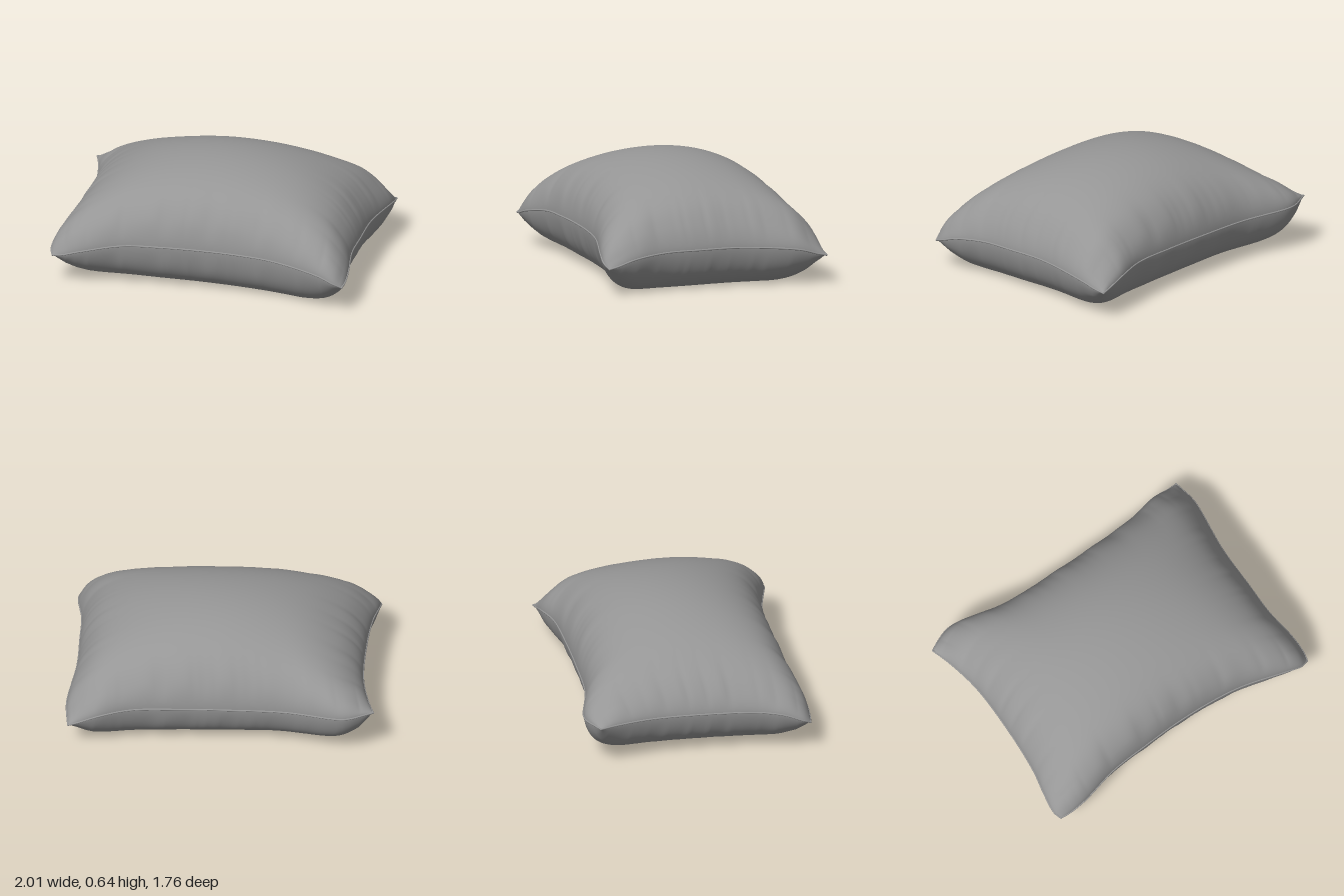
import * as THREE from 'three';

const NU = 150, NV = 130;

// Seam edges: spline through [x, y, z] points
const spline = pts => {
  const c = new THREE.CatmullRomCurve3(pts.map(p => new THREE.Vector3(...p)), false, 'centripetal');
  c.arcLengthDivisions = 400;
  return c;
};
const A = [-1, 0.265, -0.22], B = [0.55, 0.16, -0.88], C = [1, 0.155, 0.3], D = [-0.545, 0.175, 0.873];
const edges = {
  back: spline([A, [-0.96, 0.264, -0.265], [-0.9, 0.258, -0.32], [-0.84, 0.255, -0.347], [-0.55, 0.245, -0.39],
    [-0.25, 0.242, -0.495], [0, 0.24, -0.595], [0.25, 0.237, -0.71], [0.4, 0.215, -0.81], [0.5, 0.175, -0.855], B]),
  front: spline([D, [-0.5, 0.18, 0.862], [-0.4, 0.21, 0.822], [-0.2, 0.25, 0.698], [0, 0.257, 0.605],
    [0.2, 0.256, 0.517], [0.4, 0.253, 0.445], [0.6, 0.246, 0.392], [0.88, 0.212, 0.354], [0.96, 0.18, 0.333], C]),
  left: spline([A, [-0.93, 0.264, -0.13], [-0.82, 0.262, 0.05], [-0.7, 0.258, 0.36], [-0.63, 0.252, 0.6],
    [-0.605, 0.235, 0.74], [-0.575, 0.195, 0.84], D]),
  right: spline([B, [0.575, 0.17, -0.835], [0.62, 0.2, -0.74], [0.7, 0.225, -0.42], [0.79, 0.226, -0.18],
    [0.86, 0.222, 0], [0.95, 0.2, 0.16], [0.99, 0.17, 0.25], C]),
};
const sample = (curve, n) => Array.from({ length: n + 1 }, (_, i) =>
  curve.getPointAt((Math.sin((i / n - 0.5) * Math.PI) + 1) / 2));

// Irregular pinched pleats along a coordinate t, fading away from the seam
const pinch = x => 0.5 - 1.4 * (1 - Math.abs(Math.sin(x))) ** 2;
const pleat = (t, seed) => pinch(t * 8 + seed) * 0.6 + pinch(t * 13 + seed * 2.3 + Math.sin(t * 5)) * 0.6
  + Math.sin(t * 19 + seed * 4.1) * 0.4;
const band = (d, width) => (d / width) * Math.exp(1 - d / width);

function shellGeometry(isTop) {
  const back = sample(edges.back, NU), front = sample(edges.front, NU);
  const left = sample(edges.left, NV), right = sample(edges.right, NV);
  const pos = [], idx = [];
  const [a, b, c, d] = [A, B, C, D].map(p => new THREE.Vector3(...p));
  for (let j = 0; j <= NV; j++) {
    for (let i = 0; i <= NU; i++) {
      const u = Math.sin((i / NU - 0.5) * Math.PI), v = Math.sin((j / NV - 0.5) * Math.PI);
      const s = (u + 1) / 2, t = (v + 1) / 2;
      // Blend the four seam edges across the patch
      const p = new THREE.Vector3()
        .addScaledVector(back[i], 1 - t).addScaledVector(front[i], t)
        .addScaledVector(left[j], 1 - s).addScaledVector(right[j], s)
        .addScaledVector(a, -(1 - s) * (1 - t)).addScaledVector(b, -s * (1 - t))
        .addScaledVector(c, -s * t).addScaledVector(d, -(1 - s) * t);
      const eu = Math.max(0, 1 - u * u), ev = Math.max(0, 1 - v * v);
      const du = 1 - Math.abs(u), dv = 1 - Math.abs(v);
      // Pleats run inward from every edge and vanish on the seam
      const w = isTop ? 0.06 : 0.08;
      const folds = pleat(v, u < 0 ? 1 : 3.7) * band(du, w) * Math.sqrt(ev)
        + pleat(u * 1.3, v < 0 ? 5.2 : 2.4) * band(dv, w) * Math.sqrt(eu);
      if (isTop) {
        p.y += (0.638 - p.y) * Math.pow(eu, 0.6) * Math.pow(ev, 0.5) + folds * 0.009;
      } else {
        const g = Math.pow(Math.max(0, 1 - Math.abs(u) ** 10), 0.65) * Math.pow(Math.max(0, 1 - v ** 8), 0.65);
        const k = Math.min(1, g * 1.08);
        const floor = Math.max(0, 0.021 - 0.03 * p.x);
        p.y = Math.max(floor, p.y + (floor - p.y) * k + folds * 0.018 * (1 - k));
      }
      pos.push(p.x, p.y, p.z);
    }
  }
  for (let j = 0; j < NV; j++) {
    for (let i = 0; i < NU; i++) {
      const q = j * (NU + 1) + i, r = q + NU + 1;
      if (isTop) idx.push(q, r, q + 1, q + 1, r, r + 1);
      else idx.push(q, q + 1, r, q + 1, r + 1, r);
    }
  }
  const geo = new THREE.BufferGeometry();
  geo.setAttribute('position', new THREE.Float32BufferAttribute(pos, 3));
  geo.setIndex(idx);
  geo.computeVertexNormals();
  return geo;
}

export function createModel() {
  const group = new THREE.Group();
  group.name = 'pillow';
  const fabric = new THREE.MeshStandardMaterial({ color: 0x969696, side: THREE.DoubleSide });
  const add = (name, geo) => {
    const mesh = new THREE.Mesh(geo, fabric);
    mesh.name = name;
    group.add(mesh);
  };

  // Domed upper panel and flat-resting lower panel
  add('topPanel', shellGeometry(true));
  add('bottomPanel', shellGeometry(false));

  // Thin piping along the seam
  for (const [name, curve] of Object.entries(edges)) {
    add(`${name}Seam`, new THREE.TubeGeometry(curve, 100, 0.005, 8, false));
  }

  // Rounded tips close the piping at the corners
  [A, B, C, D].forEach((p, i) => {
    add(`cornerTip${i + 1}`, new THREE.SphereGeometry(0.006, 10, 8).translate(...p));
  });
  return group;
}
